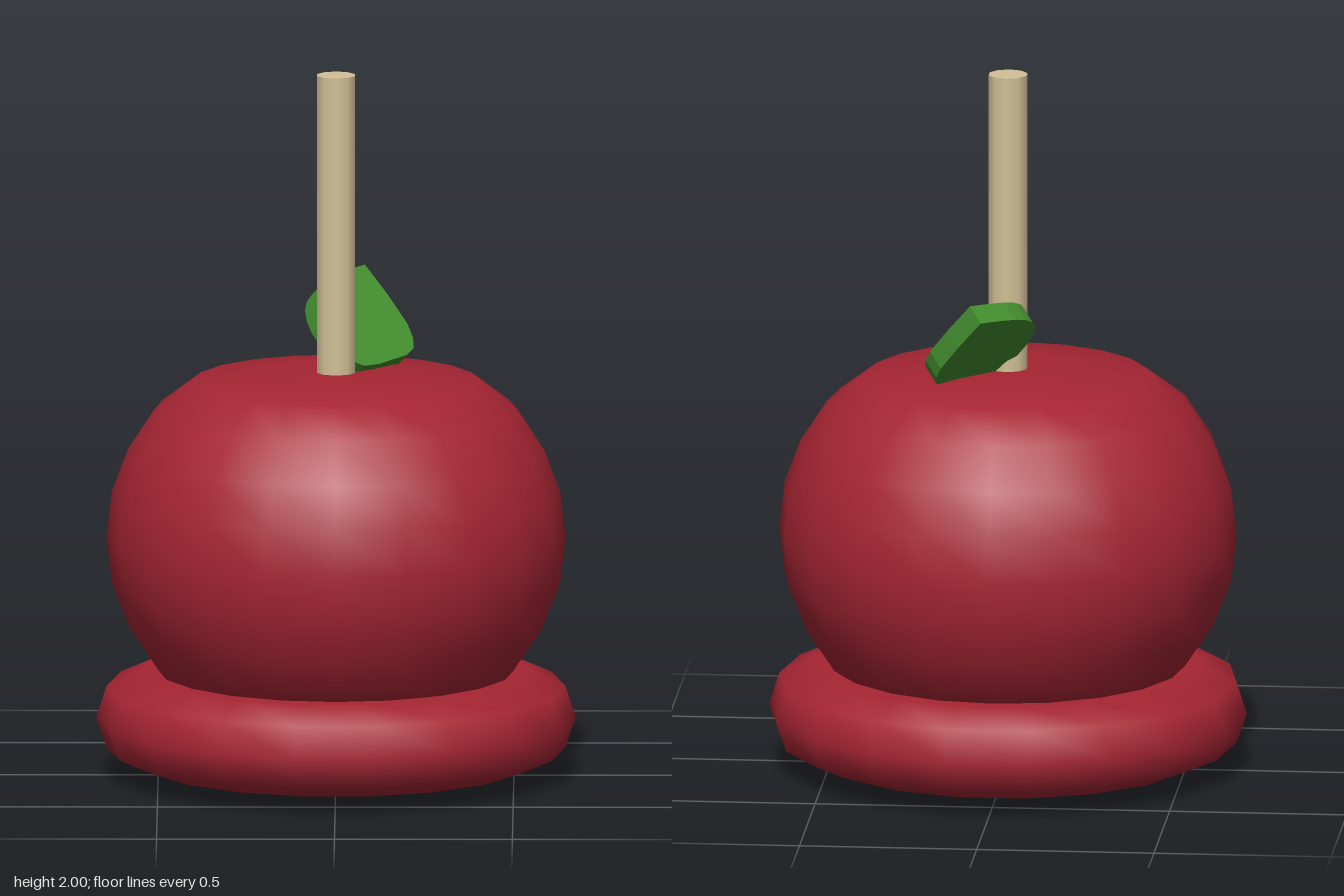
import * as THREE from 'three';

const material = (name, color) => {
  const m = new THREE.MeshStandardMaterial({ color });
  m.name = name;
  return m;
};

// Smooth round body from a [radius, height] profile, bottom to top
function turned(name, profile, sides, mat) {
  const points = profile.map(([r, y]) => new THREE.Vector2(r, y));
  const mesh = new THREE.Mesh(new THREE.LatheGeometry(points, sides, Math.PI / 2), mat);
  mesh.name = name;
  return mesh;
}

// Thick flat leaf: outline as seen from above, lifted onto a tilted plane
function makeLeaf(mat) {
  const curve = (pts) =>
    new THREE.CatmullRomCurve3(pts.map(([x, z]) => new THREE.Vector3(x, -z, 0))).getPoints(10);
  const right = curve([[0.05, 0.01], [0.08, 0], [0.165, -0.09], [0.218, -0.165], [0.2, -0.225], [0.08, -0.31]]);
  const left = curve([[0.08, -0.31], [0.02, -0.24], [-0.035, -0.165], [-0.055, -0.1], [-0.035, -0.045], [0.05, 0.01]]);
  const outline = [...right, ...left.slice(1, -1)].map((p) => new THREE.Vector2(p.x, p.y));
  const geo = new THREE.ExtrudeGeometry(new THREE.Shape(outline), { depth: 1, bevelEnabled: false, steps: 1 });
  const pos = geo.attributes.position;
  for (let i = 0; i < pos.count; i++) {
    const x = pos.getX(i), z = -pos.getY(i), back = 1 - pos.getZ(i);
    const y = (0.836 - 0.51 * x - 0.51 * z) / 0.68;
    pos.setXYZ(i, x - 0.033 * back, y - 0.042 * back, z - 0.03 * back);
  }
  geo.computeVertexNormals();
  const mesh = new THREE.Mesh(geo, mat);
  mesh.name = 'leaf';
  return mesh;
}

export function createModel() {
  const red = material('candy red', 0xa62533);
  const wood = material('pale wood', 0xd2c096);
  const green = material('leaf green', 0x43902f);
  const group = new THREE.Group();
  group.name = 'candyApple';

  // Pooled coating under the apple
  group.add(turned('base', [
    [0, 0], [0.2, 0.005], [0.4, 0.013], [0.55, 0.038], [0.645, 0.08],
    [0.674, 0.165], [0.645, 0.255], [0.545, 0.3], [0, 0.302],
  ], 18, red));

  // Apple
  group.add(turned('apple', [
    [0, 0.2], [0.4, 0.21], [0.5, 0.3], [0.58, 0.42], [0.63, 0.55], [0.645, 0.68],
    [0.63, 0.81], [0.585, 0.93], [0.51, 1.045], [0.4, 1.128], [0.2, 1.15], [0, 1.152],
  ], 20, red));

  // Stick
  const stick = new THREE.Mesh(new THREE.CylinderGeometry(0.056, 0.056, 0.95, 10), wood);
  stick.name = 'stick';
  stick.position.y = 1.525;
  group.add(stick);

  group.add(makeLeaf(green));
  return group;
}
